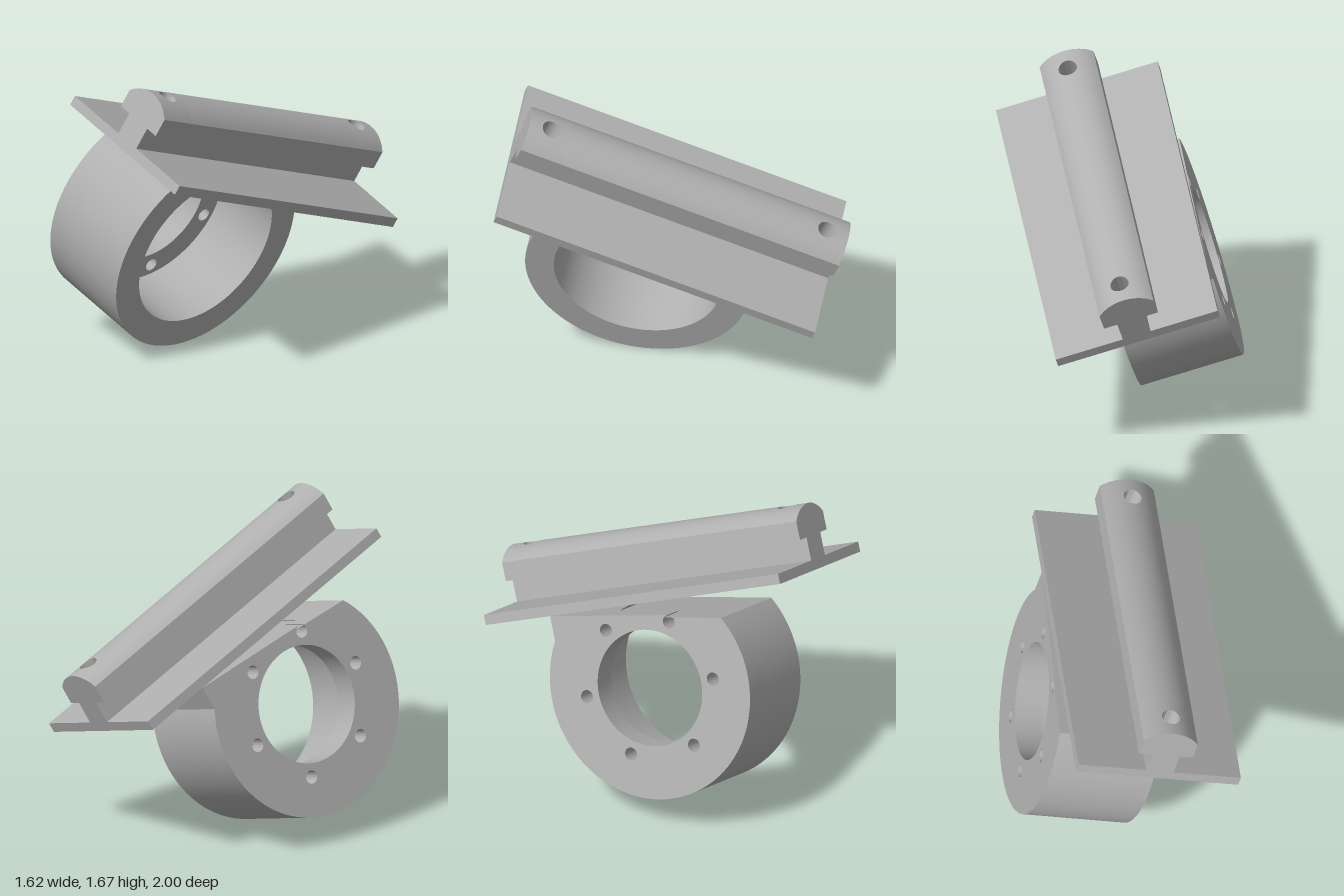
import * as THREE from 'three';
import { toCreasedNormals } from 'three/addons/utils/BufferGeometryUtils.js';

const LEN = 1.825, HALF_W = 0.451;            // plate
const HEAD = 0.15;                            // rail head half width
const ARC_R = 0.196, ARC_Y = 0.102;           // rail crown arc
const BOLT_Z = 0.79, BOLT_R = 0.05, PATCH = 0.11;
const RING_Y = -0.511, RING_R = 0.605, NECK = 0.514;
const STEPS = 16;

const crownY = (x) => ARC_Y + Math.sqrt(ARC_R * ARC_R - x * x);
const SHOULDER = crownY(HEAD);

function circleHole(shape, x, y, r) {
  const hole = new THREE.Path();
  hole.absarc(x, y, r, 0, Math.PI * 2, true);
  shape.holes.push(hole);
}

function extrude(shape, depth) {
  return new THREE.ExtrudeGeometry(shape, { depth, bevelEnabled: false, curveSegments: 48 });
}

// Flat bar along z with the two bolt holes going down through it
function drilledBar(halfW, y0, y1) {
  const s = new THREE.Shape();
  s.moveTo(-halfW, -LEN / 2);
  s.lineTo(halfW, -LEN / 2);
  s.lineTo(halfW, LEN / 2);
  s.lineTo(-halfW, LEN / 2);
  s.closePath();
  for (const z of [-BOLT_Z, BOLT_Z]) circleHole(s, 0, z, BOLT_R);
  return extrude(s, y1 - y0).rotateX(-Math.PI / 2).translate(0, y0, 0);
}

// Plain stretch of the rounded rail crown
function crownBar(z0, z1) {
  const s = new THREE.Shape();
  s.moveTo(-HEAD, SHOULDER);
  for (let i = STEPS; i > 0; i--) {
    const x = HEAD * (2 * i / STEPS - 1);
    s.lineTo(x, crownY(x));
  }
  s.closePath();
  return extrude(s, z1 - z0).translate(0, 0, z0);
}

// Rounded crown around a bolt hole, with the hole wall as the last row
function crownPatch(zc) {
  const corners = [[1, -1], [1, 1], [-1, 1], [-1, -1]];
  const n = STEPS * 4, rows = 6, pos = [], index = [];
  for (let j = 0; j <= rows + 1; j++) {
    for (let i = 0; i <= n; i++) {
      const side = Math.floor(i / STEPS) % 4, t = (i % STEPS) / STEPS;
      const a = corners[side], b = corners[(side + 1) % 4];
      const ox = HEAD * (a[0] + (b[0] - a[0]) * t);
      const oz = PATCH * (a[1] + (b[1] - a[1]) * t);
      const k = BOLT_R / Math.hypot(ox, oz);
      const f = 1 + (k - 1) * Math.min(j / rows, 1);
      pos.push(ox * f, j > rows ? SHOULDER : crownY(ox * f), oz * f + zc);
      if (j <= rows && i < n) {
        const p = j * (n + 1) + i, q = p + n + 1;
        index.push(p, q, p + 1, q, q + 1, p + 1);
      }
    }
  }
  const g = new THREE.BufferGeometry();
  g.setAttribute('position', new THREE.Float32BufferAttribute(pos, 3));
  g.setIndex(index);
  return g;
}

// Ring outline, counterclockwise, with straight neck sides rising to the plate
function ringSection(x0, x1, boreR, screws) {
  const s = new THREE.Shape();
  const a = Math.acos(NECK / RING_R);
  s.moveTo(-NECK, -0.055);
  s.absarc(0, RING_Y, RING_R, Math.PI - a, Math.PI * 2 + a, false);
  s.lineTo(NECK, -0.055);
  s.closePath();
  circleHole(s, 0, RING_Y, boreR);
  for (let i = 0; i < screws; i++) {
    const t = i * Math.PI * 2 / screws;
    circleHole(s, 0.39 * Math.cos(t), RING_Y + 0.39 * Math.sin(t), 0.036);
  }
  return extrude(s, x1 - x0).rotateY(Math.PI / 2).translate(x0, 0, 0);
}

export function createModel() {
  const grey = new THREE.MeshStandardMaterial({ color: 0xb0b0b0 });
  grey.name = 'grey';

  const mount = new THREE.Group();
  mount.name = 'railMount';
  const add = (name, geometry) => {
    const mesh = new THREE.Mesh(toCreasedNormals(geometry, 0.5), grey);
    mesh.name = name;
    mount.add(mesh);
  };

  // Plate and T-shaped rail
  add('plate', drilledBar(HALF_W, -0.055, 0));
  add('railStem', drilledBar(0.077, 0, 0.126));
  add('railHead', drilledBar(HEAD, 0.126, SHOULDER));
  const inner = BOLT_Z - PATCH, outer = BOLT_Z + PATCH;
  add('railCrown', crownBar(-inner, inner));
  add('railCrownFrontEnd', crownBar(outer, LEN / 2));
  add('railCrownBackEnd', crownBar(-LEN / 2, -outer));
  add('railCrownFrontHole', crownPatch(BOLT_Z));
  add('railCrownBackHole', crownPatch(-BOLT_Z));

  // Ring housing: flange with screw holes, then the wide barrel
  add('ringFlange', ringSection(-HALF_W, -0.3, 0.316, 6));
  add('ringBarrel', ringSection(-0.3, 0.116, 0.45, 0));

  // Tilt the whole mount
  const w = new THREE.Vector3(0.837, -0.288, 0.466).normalize();
  const z = new THREE.Vector3().crossVectors(w, new THREE.Vector3(0.417, 0.886, -0.202)).normalize();
  const up = new THREE.Vector3().crossVectors(z, w);
  mount.quaternion.setFromRotationMatrix(new THREE.Matrix4().makeBasis(w, up, z));

  // Stand it on the ground, centred
  const model = new THREE.Group();
  model.name = 'model';
  model.add(mount);
  model.updateMatrixWorld(true);
  const box = new THREE.Box3().setFromObject(model, true);
  const c = box.getCenter(new THREE.Vector3());
  mount.position.set(-c.x, -box.min.y, -c.z);
  return model;
}
